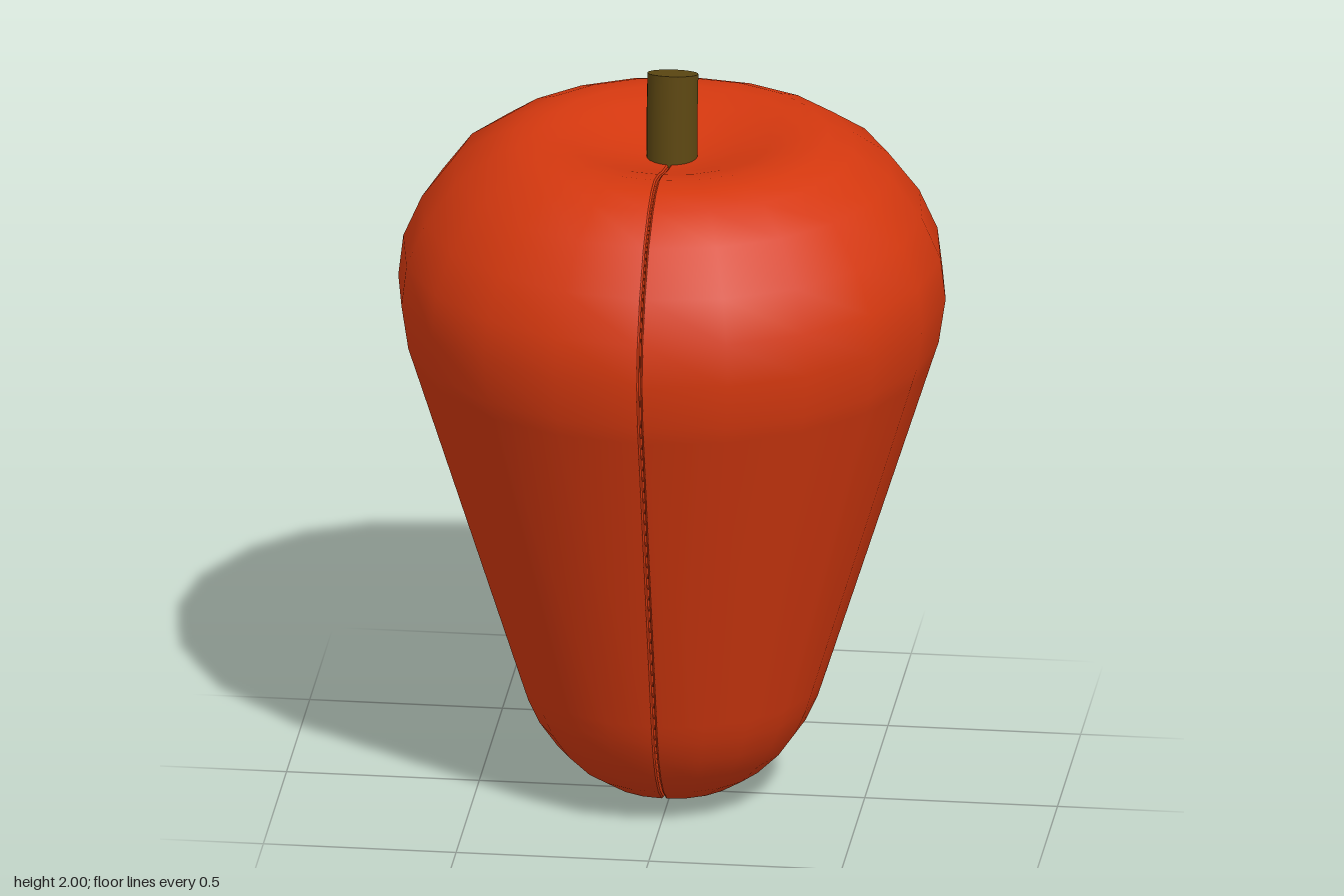
import * as THREE from 'three';

const bodyMaterial = new THREE.MeshStandardMaterial({ color: 0xd4380f });
const stemMaterial = new THREE.MeshStandardMaterial({ color: 0x5e4812 });

// Outline from the pointed base to the dimple under the stem: radius, height
const profile = [
  [0, 0.005], [0.075, 0.02], [0.165, 0.045], [0.235, 0.09], [0.295, 0.15], [0.34, 0.215],
  [0.37, 0.28], [0.386, 0.33], [0.669, 1.23], [0.685, 1.28], [0.703, 1.4], [0.69, 1.51],
  [0.642, 1.62], [0.56, 1.73], [0.465, 1.795], [0.4, 1.82], [0.33, 1.828],
  [0.25, 1.812], [0.16, 1.785], [0.07, 1.765], [0, 1.76],
].map(([r, y]) => new THREE.Vector2(r, y));

const SEAM = 0.007;

function createHalf(name) {
  const half = new THREE.Group();
  half.name = name;

  // Ten-sided outer skin on the +x side
  const skin = new THREE.Mesh(new THREE.LatheGeometry(profile, 10, 0, Math.PI), bodyMaterial);
  skin.name = 'skin';
  skin.position.x = SEAM;

  // Flat inner wall with a bevelled edge that forms the seam groove
  const mirrored = profile.slice(1, -1).reverse().map((p) => new THREE.Vector2(-p.x, p.y));
  const wallGeometry = new THREE.ExtrudeGeometry(new THREE.Shape([...profile, ...mirrored]), {
    depth: 0.0005, bevelThickness: 0.006, bevelSize: 0.012, bevelOffset: -0.012, bevelSegments: 2,
  });
  wallGeometry.rotateY(Math.PI / 2);
  const wall = new THREE.Mesh(wallGeometry, bodyMaterial);
  wall.name = 'seamWall';
  wall.position.x = SEAM;

  half.add(skin, wall);
  return half;
}

// Cylinder whose upper ring leans back
function createStem() {
  const bottom = 1.74, bend = 1.87, top = 1.985, tilt = 0.24;
  const geometry = new THREE.CylinderGeometry(0.066, 0.066, top - bottom, 20, 2);
  const position = geometry.attributes.position;
  for (let i = 0; i < position.count; i++) {
    const x = position.getX(i), y = position.getY(i), z = position.getZ(i);
    if (y > 0.01) {
      position.setXYZ(i, x, top + z * Math.sin(tilt), z * Math.cos(tilt) - 0.02);
    } else if (y > -0.01) {
      position.setXYZ(i, x, bend + z * Math.sin(tilt / 2), z);
    } else {
      position.setXYZ(i, x, bottom, z);
    }
  }
  // Lean the normals of the end disc with it
  const normal = geometry.attributes.normal;
  for (let i = 0; i < normal.count; i++) {
    if (normal.getY(i) > 0.9) normal.setXYZ(i, 0, Math.cos(tilt), -Math.sin(tilt));
  }
  const stem = new THREE.Mesh(geometry, stemMaterial);
  stem.name = 'stem';
  return stem;
}

export function createModel() {
  const model = new THREE.Group();
  model.name = 'pepper';
  const left = createHalf('leftHalf');
  const right = createHalf('rightHalf');
  right.rotation.y = Math.PI;
  model.add(left, right, createStem());
  return model;
}
